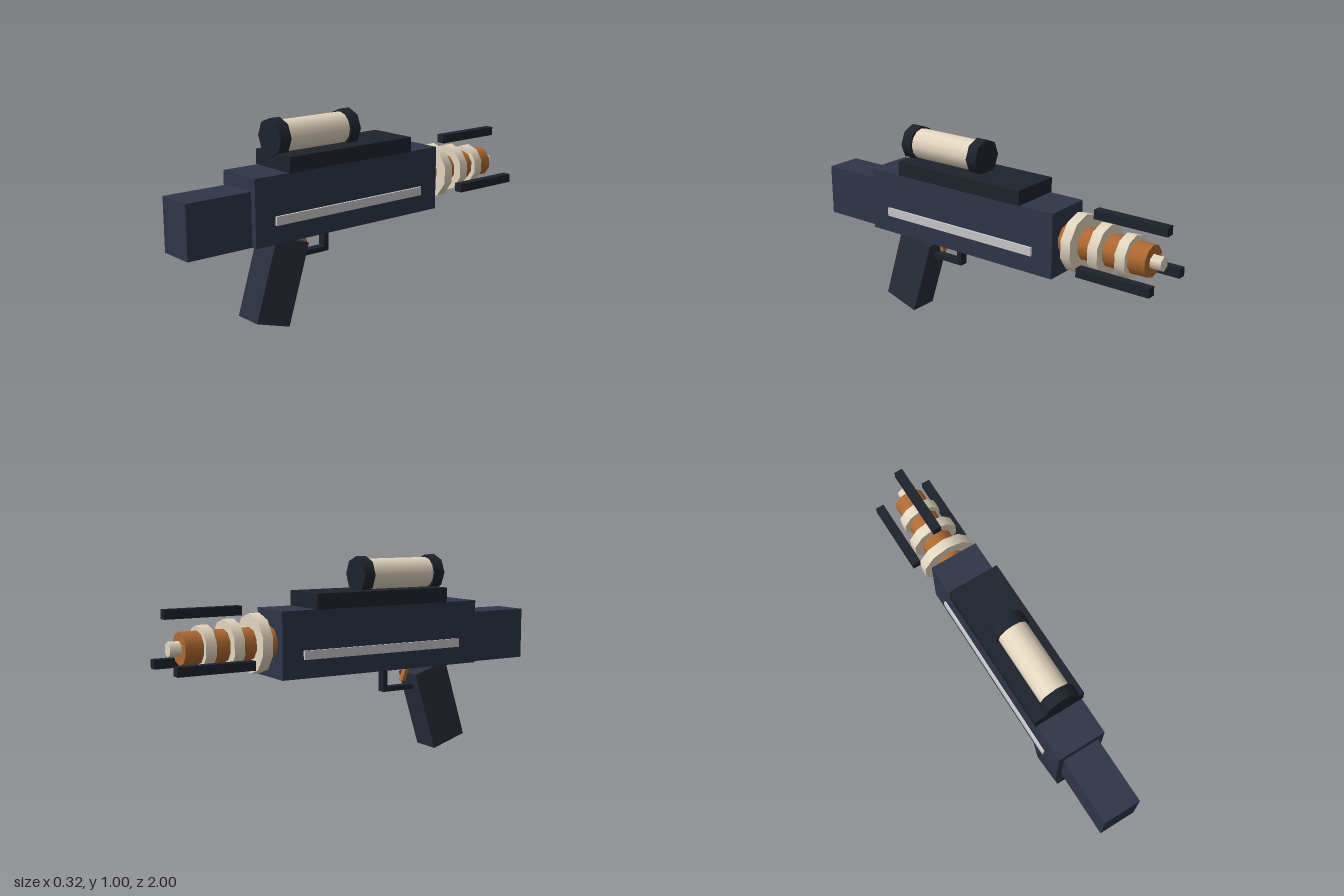
import * as THREE from 'three';

export function createModel() {
  const group = new THREE.Group();
  const mat = (color) => new THREE.MeshStandardMaterial({ color });
  const navy = mat(0x2f3649), gripGrey = mat(0x2b303d), dark = mat(0x1e232c);
  const cream = mat(0xe4d7c0), copper = mat(0xb06a32), silver = mat(0xbcbcc0);

  const add = (name, geometry, material, x, y, z) => {
    const mesh = new THREE.Mesh(geometry, material);
    mesh.name = name;
    mesh.position.set(x, y, z);
    group.add(mesh);
    return mesh;
  };
  // box given by its width, height range and depth range
  const block = (name, material, x, w, y0, y1, z0, z1) =>
    add(name, new THREE.BoxGeometry(w, y1 - y0, z1 - z0), material, x, (y0 + y1) / 2, (z0 + z1) / 2);
  // cylinder lying along z
  const rod = (name, material, r, sides, y, z0, z1) =>
    add(name, new THREE.CylinderGeometry(r, r, z1 - z0, sides).rotateX(Math.PI / 2), material, 0, y, (z0 + z1) / 2);

  // receiver, stock and top rail
  block('body', navy, 0, 0.248, 0.44, 0.763, -0.467, 0.66);
  block('stock', navy, 0, 0.188, 0.44, 0.70, 0.66, 1);
  block('topRail', dark, 0, 0.264, 0.763, 0.837, -0.283, 0.47);
  for (const s of [-1, 1]) block('sideStrip', silver, s * 0.127, 0.016, 0.53, 0.573, -0.355, 0.55);

  // scope
  rod('scopeTube', cream, 0.077, 12, 0.91, 0.04, 0.45);
  rod('scopeRearCap', dark, 0.09, 8, 0.91, 0.426, 0.485);
  rod('scopeFrontCap', dark, 0.09, 8, 0.91, 0.01, 0.068);

  // barrel with shrinking rings and a tip
  const axis = 0.608;
  rod('barrel', copper, 0.078, 10, axis, -0.925, -0.46);
  for (const [r, z] of [[0.143, -0.548], [0.123, -0.68], [0.103, -0.811]])
    rod('barrelRing', cream, r, 10, axis, z - 0.026, z + 0.026);
  rod('barrelTip', cream, 0.036, 6, axis, -0.98, -0.92);

  // three prongs around the muzzle
  for (const [x, y] of [[0, 0.767], [-0.137, 0.527], [0.137, 0.527]])
    block('prong', dark, x, 0.044, y - 0.022, y + 0.022, -1, -0.622);

  // slanted grip, trigger and guard
  add('grip', new THREE.BoxGeometry(0.15, 0.413, 0.196), gripGrey, 0, 0.227, 0.476).rotation.x = -0.3;
  add('trigger', new THREE.BoxGeometry(0.03, 0.075, 0.02), copper, 0, 0.393, 0.302).rotation.x = 0.35;
  block('guardBottom', dark, 0, 0.045, 0.314, 0.338, 0.16, 0.37);
  block('guardFront', dark, 0, 0.045, 0.325, 0.44, 0.16, 0.184);

  return group;
}
